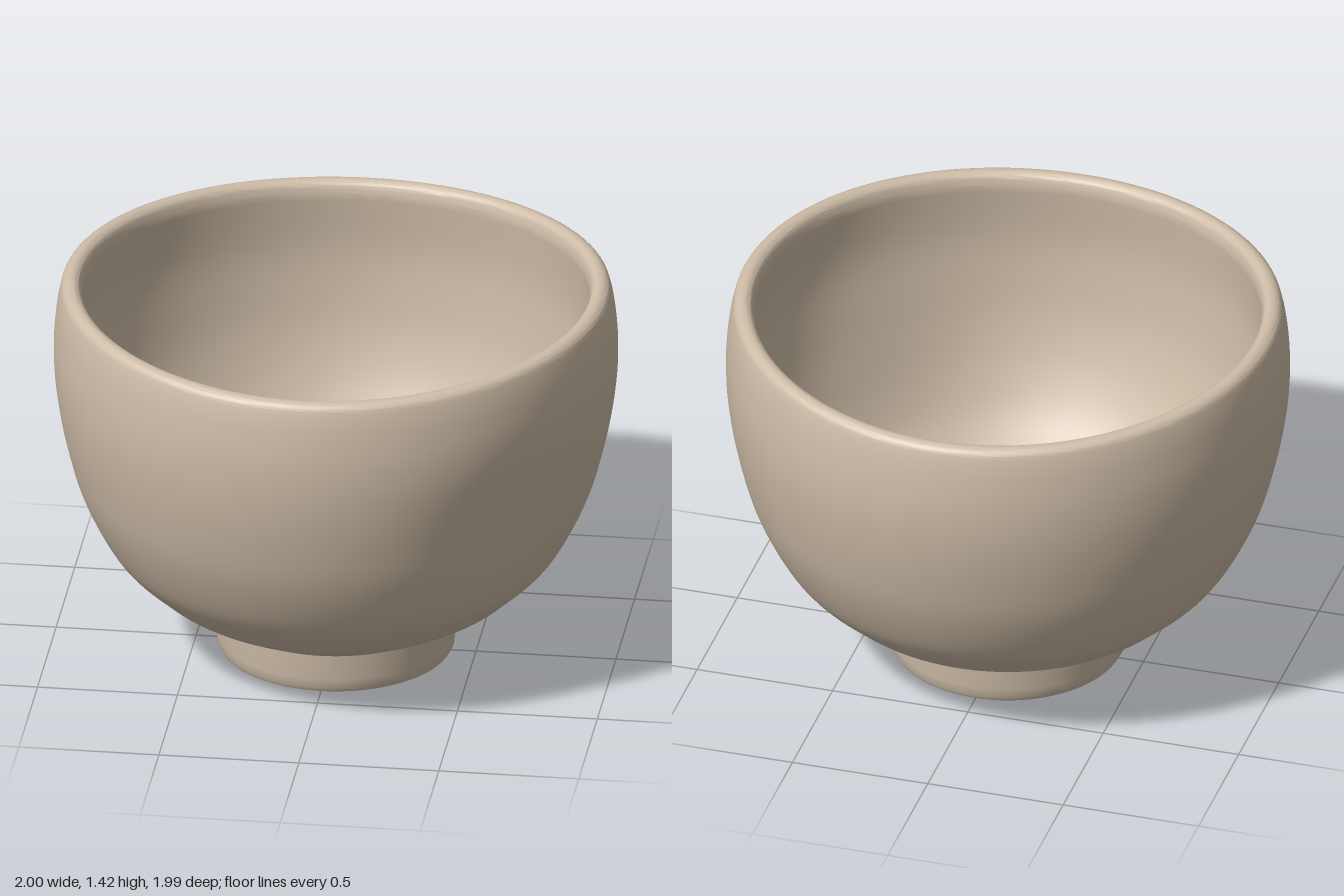
import * as THREE from 'three';
import { mergeVertices, toCreasedNormals } from 'three/addons/utils/BufferGeometryUtils.js';

const clay = new THREE.MeshStandardMaterial({ color: 0xcdbca7 });
const v = ([x, y]) => new THREE.Vector2(x, y);
const smooth = (points, n) => new THREE.SplineCurve(points.map(v)).getPoints(n);

// Turned form: lathe the profile, reshape its vertices, then weld and crease
function turned(name, profile, reshape) {
  const geo = new THREE.LatheGeometry(profile, 112);
  geo.deleteAttribute('uv');
  geo.deleteAttribute('normal');
  if (reshape) {
    const pos = geo.attributes.position;
    const p = new THREE.Vector3();
    for (let i = 0; i < pos.count; i++) {
      reshape(p.fromBufferAttribute(pos, i));
      pos.setXYZ(i, p.x, p.y, p.z);
    }
  }
  const mesh = new THREE.Mesh(toCreasedNormals(mergeVertices(geo, 1e-5), 0.6), clay);
  mesh.name = name;
  return mesh;
}

// Hand-made irregularity: a gently waving rim and one broad thumb dent
function handShape(p) {
  const angle = Math.atan2(p.z, p.x);
  const lift = THREE.MathUtils.smoothstep(p.y, 0.7, 1.4);
  const da = (angle - 0.68) / 0.42;
  const dy = (p.y - 0.78) / 0.3;
  const r = Math.hypot(p.x, p.z);
  const dent = 0.04 * Math.exp(-da * da - dy * dy) * THREE.MathUtils.smoothstep(r, 0.3, 0.8);
  const scale = r > 1e-6 ? (r - dent) / r : 1;
  p.x *= scale;
  p.z *= scale * (1 - 0.01 * lift);
  p.y += 0.018 * Math.cos(2 * angle) * lift;
}

export function createModel() {
  const group = new THREE.Group();
  group.name = 'teaBowl';

  // Bowl: underside, outer wall, rounded rim, inner wall
  const outer = smooth([
    [0.43, 0.155], [0.6, 0.245], [0.69, 0.315], [0.8, 0.43], [0.9, 0.625], [0.957, 0.82],
    [0.99, 1.0], [1.0, 1.15], [0.992, 1.28], [0.977, 1.365], [0.963, 1.395],
    [0.935, 1.405], [0.91, 1.392], [0.9, 1.36],
  ], 80);
  const inner = smooth([
    [0.9, 1.36], [0.912, 1.15], [0.898, 0.98], [0.865, 0.8], [0.8, 0.62], [0.7, 0.46],
    [0.54, 0.33], [0.35, 0.26], [0.16, 0.235], [0, 0.23],
  ], 48);
  inner[inner.length - 1].x = 0;
  const bowl = [v([0, 0.11]), v([0.4, 0.11]), ...outer, ...inner.slice(1)];
  group.add(turned('bowl', bowl, handShape));

  // Foot ring with softened lower edges
  const foot = [
    [0.32, 0.13], [0.333, 0.025], [0.34, 0.01], [0.352, 0.003], [0.395, 0.003],
    [0.41, 0.008], [0.42, 0.025], [0.424, 0.06], [0.431, 0.158],
  ].map(v);
  group.add(turned('footRing', foot));

  return group;
}
